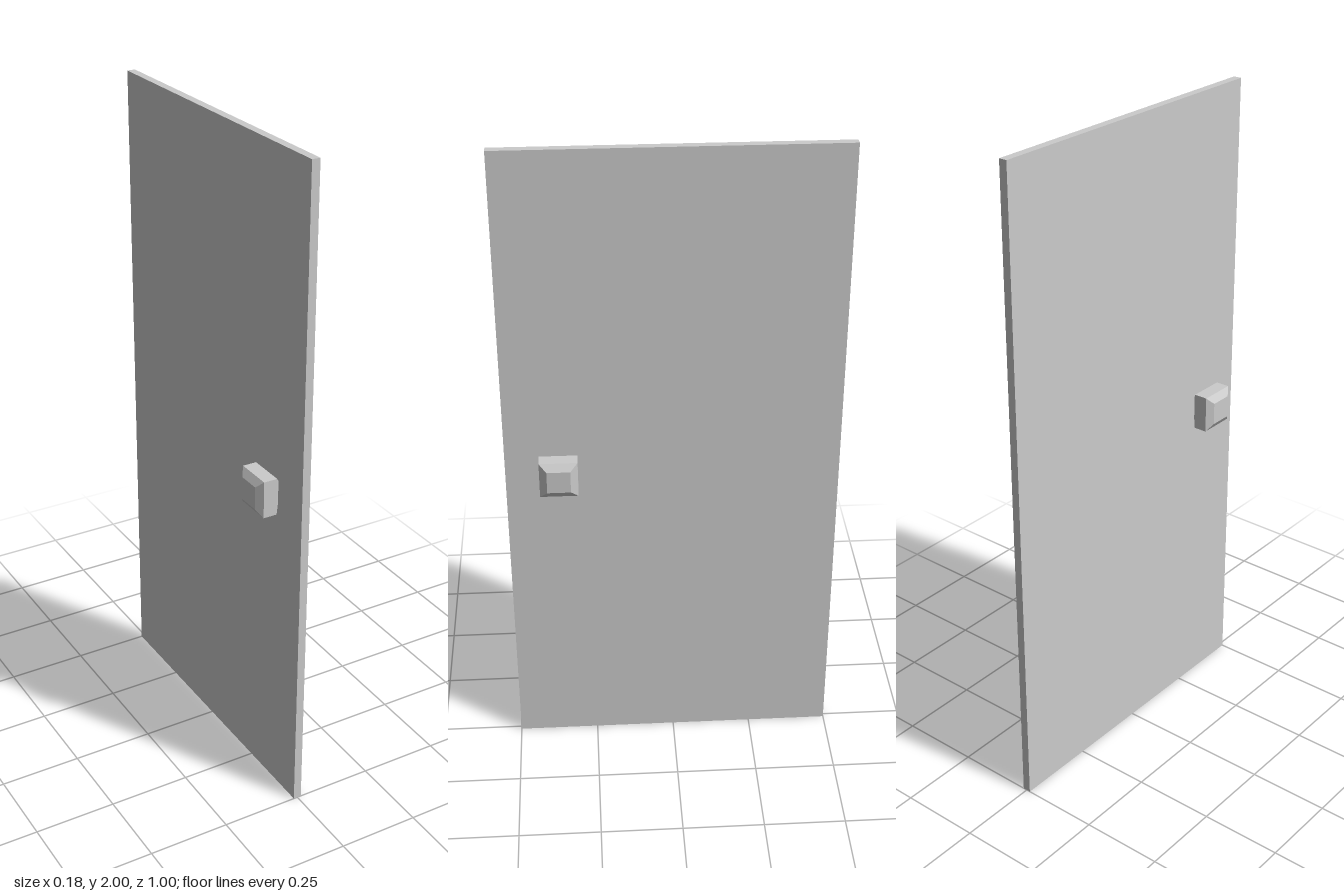
import * as THREE from 'three';

export function createModel() {
  const group = new THREE.Group();
  group.name = 'door';
  const material = new THREE.MeshStandardMaterial({ color: 0xcccccc, flatShading: true });

  // Door panel
  const panel = new THREE.Mesh(new THREE.BoxGeometry(0.025, 2, 1), material);
  panel.name = 'panel';
  panel.position.y = 1;
  group.add(panel);

  // Square knob with bevelled ends: [half width, distance from the door's middle plane]
  const profile = [[0, 0.0125], [0.035, 0.0125], [0.057, 0.0305], [0.057, 0.073], [0.035, 0.0885], [0, 0.0885]]
    .map(([half, d]) => new THREE.Vector2(half * Math.SQRT2, d));
  const knobGeometry = new THREE.LatheGeometry(profile, 4, Math.PI / 4).toNonIndexed();
  knobGeometry.computeVertexNormals();

  // One knob on each side of the panel
  for (const side of [1, -1]) {
    const knob = new THREE.Mesh(knobGeometry, material);
    knob.name = side > 0 ? 'leftKnob' : 'rightKnob';
    knob.rotation.z = -side * Math.PI / 2;
    knob.position.set(0, 1.004, 0.341);
    group.add(knob);
  }
  return group;
}
